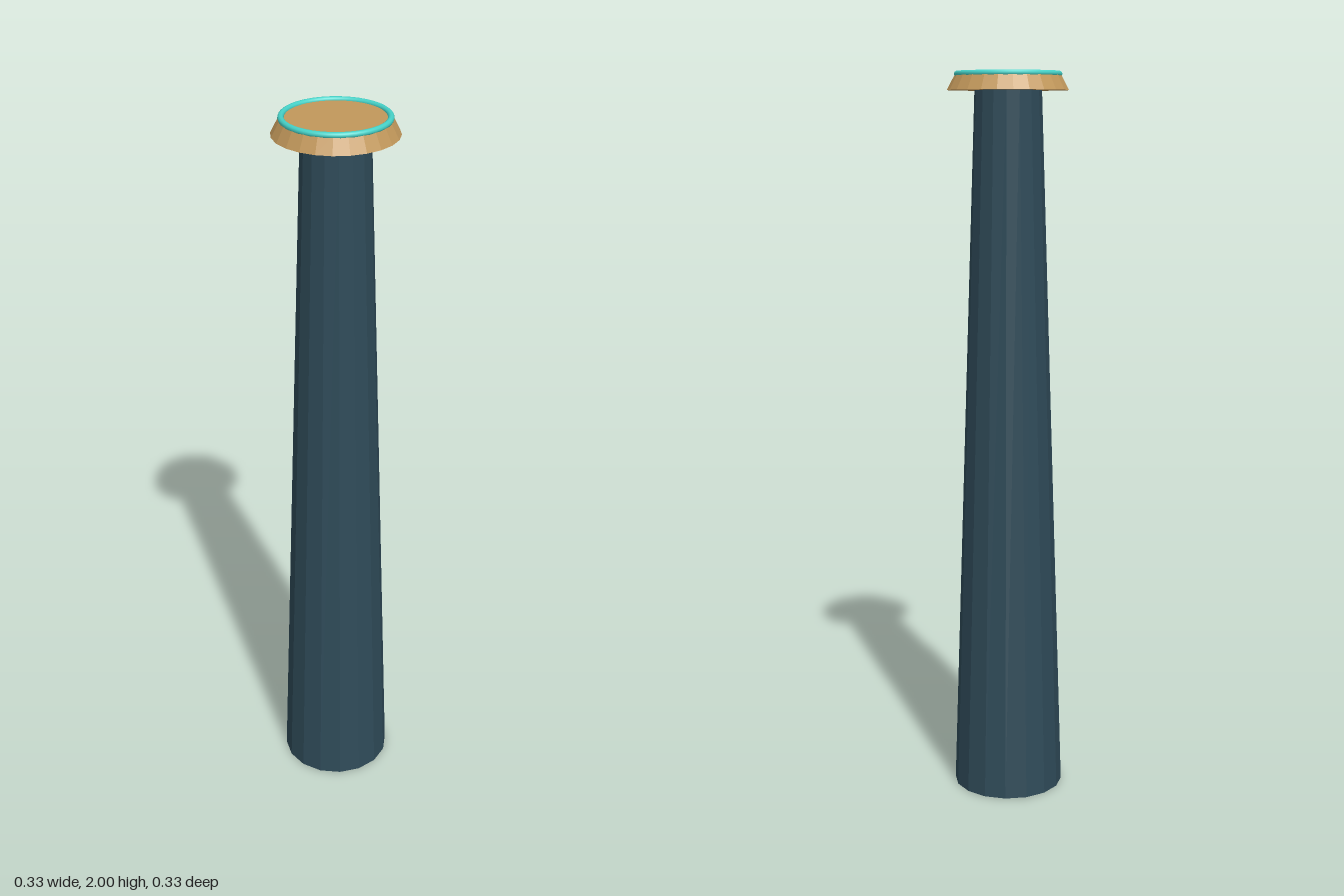
import * as THREE from 'three';

export function createModel() {
  const model = new THREE.Group();
  const slate = new THREE.MeshStandardMaterial({ color: 0x2f4b59 });
  slate.name = 'slate blue';
  const tan = new THREE.MeshStandardMaterial({ color: 0xc2985b });
  tan.name = 'tan';
  const turquoise = new THREE.MeshStandardMaterial({ color: 0x46d2c8 });
  turquoise.name = 'turquoise';

  const add = (name, geometry, material, y) => {
    const mesh = new THREE.Mesh(geometry, material);
    mesh.name = name;
    mesh.position.y = y;
    model.add(mesh);
    return mesh;
  };

  // Faceted geometry: unshared vertices give each side its own normal
  const faceted = (geometry) => {
    const flat = geometry.toNonIndexed();
    flat.computeVertexNormals();
    return flat;
  };

  // Tall tapered shaft
  add('shaft', faceted(new THREE.CylinderGeometry(0.09, 0.153, 1.95, 16)), slate, 0.975);

  // Flared cap resting on the shaft
  add('cap', faceted(new THREE.CylinderGeometry(0.141, 0.163, 0.042, 24)), tan, 1.971);

  // Thin ring around the top of the cap
  const ring = add('capRing', new THREE.TorusGeometry(0.136, 0.008, 10, 48), turquoise, 1.992);
  ring.rotation.x = -Math.PI / 2;

  return model;
}
